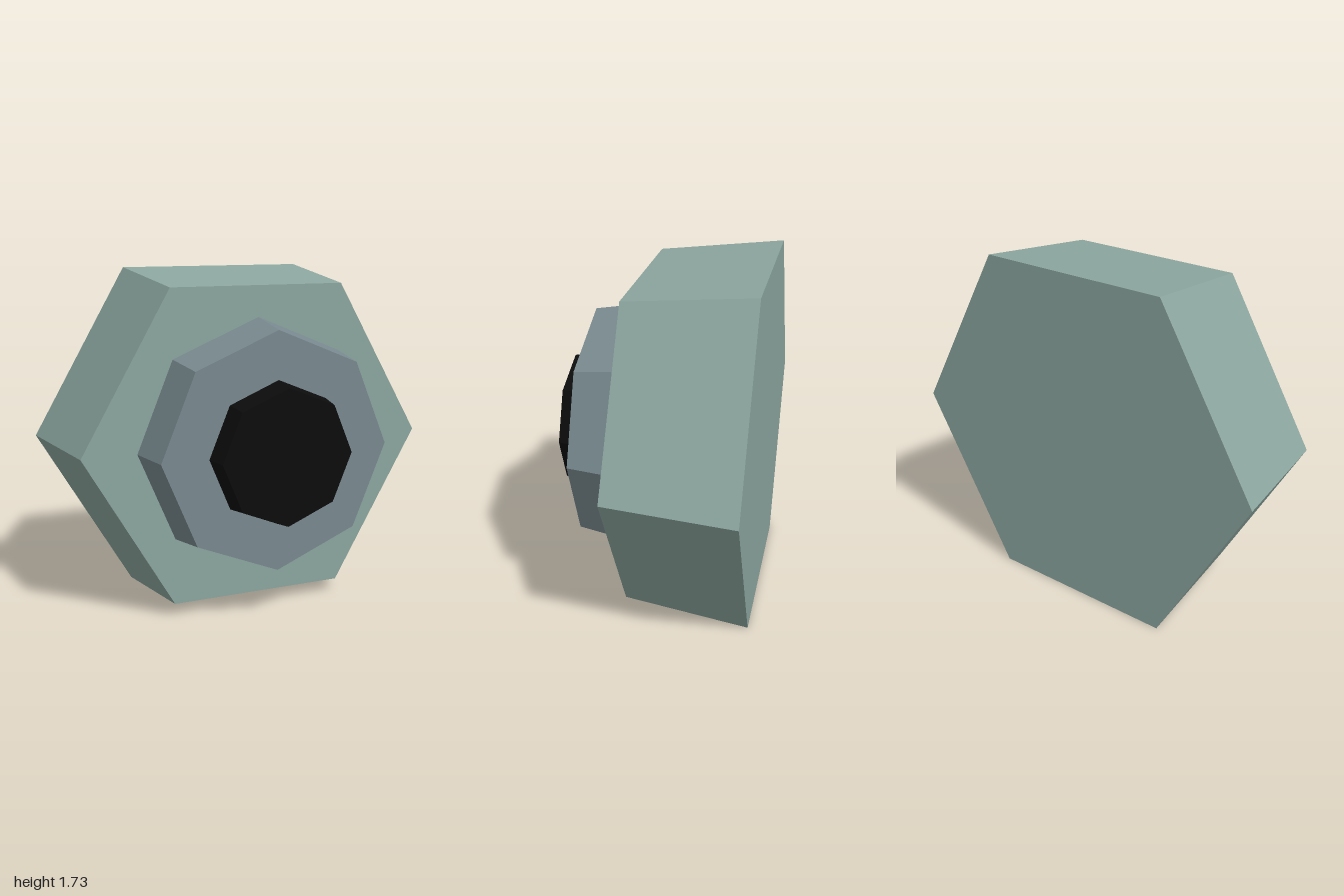
import * as THREE from 'three';

const CENTRE_Y = 0.866;

function material(name, color) {
  const m = new THREE.MeshStandardMaterial({ color, flatShading: true });
  m.name = name;
  return m;
}

export function createModel() {
  const group = new THREE.Group();
  group.name = 'hexMount';

  // Tapered prism along z, from its back face to its front face
  function prism(name, mat, sides, backRadius, frontRadius, zBack, zFront, turn = 0) {
    const geometry = new THREE.CylinderGeometry(frontRadius, backRadius, zFront - zBack, sides, 1, false, turn);
    geometry.rotateX(Math.PI / 2);
    const mesh = new THREE.Mesh(geometry, mat);
    mesh.name = name;
    mesh.position.set(0, CENTRE_Y, (zBack + zFront) / 2);
    group.add(mesh);
  }

  // Hexagonal body with corners left and right
  prism('body', material('sageGreen', 0x8ca69f), 6, 1, 0.92, -0.5, 0.14, Math.PI / 6);
  // Octagonal collar with corners up and down
  prism('collar', material('slateGrey', 0x78898f), 8, 0.64, 0.6, 0.14, 0.38);
  // Dark octagonal core
  prism('core', material('black', 0x0c0c0c), 8, 0.36, 0.34, 0.38, 0.5);

  return group;
}
